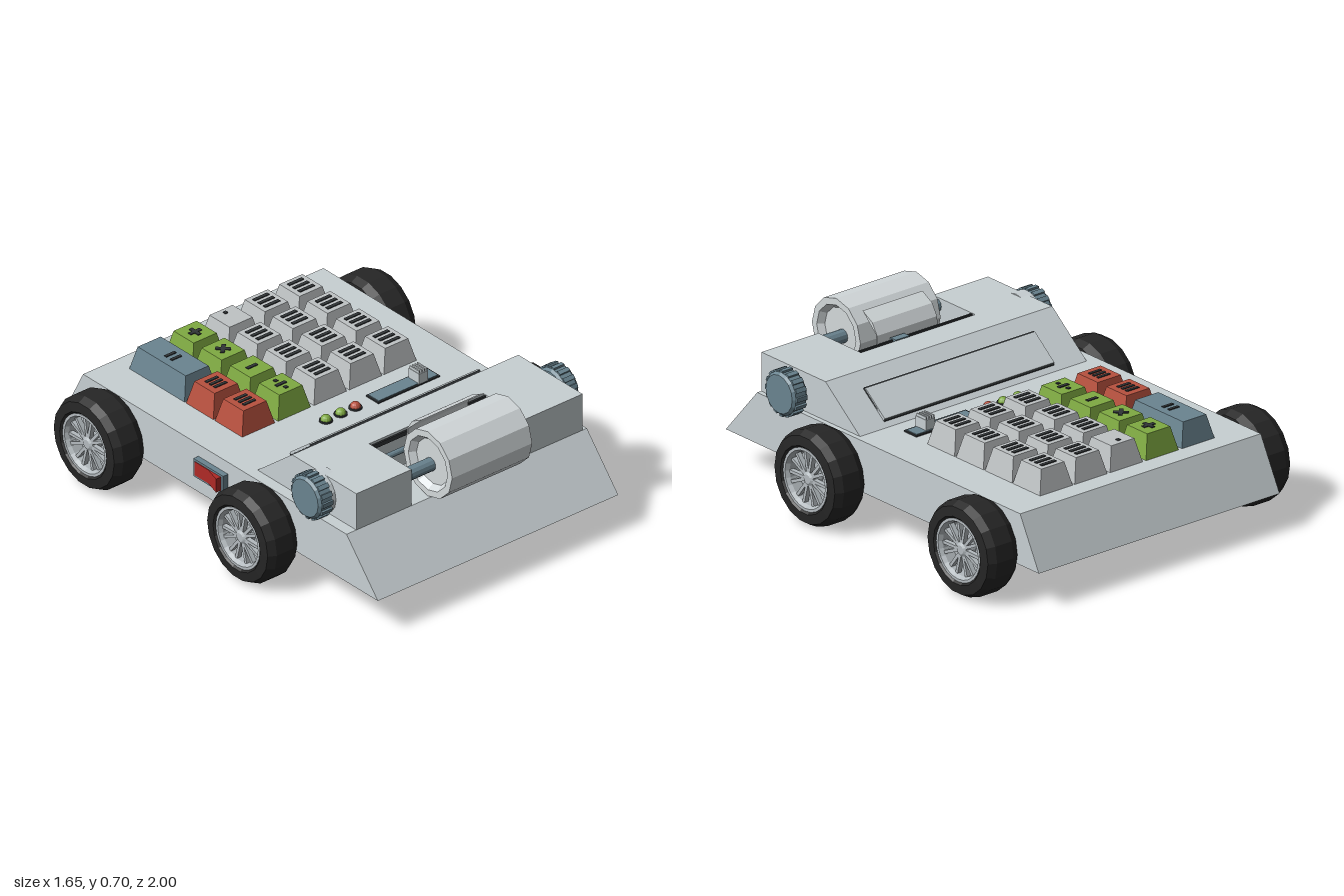
import * as THREE from 'three';

const mat = (name, color) => {
  const m = new THREE.MeshStandardMaterial({ color });
  m.name = name;
  return m;
};

export function createModel() {
  const shell = mat('shell grey', 0xc8d0d3);
  const paper = mat('paper', 0xd3d9db);
  const keyGrey = mat('key grey', 0xbfc3c5);
  const steel = mat('rim steel', 0xb4bbbf);
  const blue = mat('slate blue', 0x6a8490);
  const green = mat('green', 0x7faa42);
  const red = mat('red', 0xb8513f);
  const switchRed = mat('switch red', 0xb02a26);
  const rubber = mat('rubber', 0x262626);
  const ink = mat('ink', 0x303436);

  const model = new THREE.Group();
  model.name = 'calculatorCar';

  // Adds a faceted mesh
  const add = (name, geometry, material, x = 0, y = 0, z = 0, parent = model) => {
    const g = geometry.index ? geometry.toNonIndexed() : geometry;
    g.computeVertexNormals();
    const m = new THREE.Mesh(g, material);
    m.name = name;
    m.position.set(x, y, z);
    parent.add(m);
    return m;
  };
  const box = (w, h, d) => new THREE.BoxGeometry(w, h, d);
  // Side profile of [z, y] points, swept from x0 to x1
  const sweep = (pts, x0, x1) => {
    const shape = new THREE.Shape(pts.map(p => new THREE.Vector2(p[0], p[1])));
    return new THREE.ExtrudeGeometry(shape, { depth: x1 - x0, bevelEnabled: false })
      .rotateY(-Math.PI / 2).translate(x1, 0, 0);
  };
  // Turned shapes whose axis runs along x
  const lathe = (pts, n) =>
    new THREE.LatheGeometry(pts.map(p => new THREE.Vector2(p[0], p[1])), n).rotateZ(-Math.PI / 2);
  const rod = (r, len, n = 12) => new THREE.CylinderGeometry(r, r, len, n).rotateZ(-Math.PI / 2);

  // Wedge-ended body
  add('body', sweep([[-1, 0.17], [1, 0.17], [0.8, 0.4], [-0.88, 0.4]], -0.653, 0.653), shell);

  // Printer housing with a bay open to the front
  const housing = front => [[0.17, 0.4], [front, 0.4], [front, 0.575], [0.39, 0.575]];
  add('housingRight', sweep(housing(0.8), -0.6, -0.3), shell);
  add('housingMiddle', sweep(housing(0.53), -0.3, 0.32), shell);
  add('housingLeft', sweep(housing(0.8), 0.32, 0.63), shell);

  // Display on the rear slope
  const onSlope = (z, h) => [z - 0.623 * h, 0.4 + (z - 0.17) * 0.795 + 0.783 * h];
  const plate = (z0, z1, h) => [onSlope(z0, 0), onSlope(z1, 0), onSlope(z1, h), onSlope(z0, h)];
  add('displaySurround', sweep(plate(0.192, 0.326, 0.009), -0.44, 0.48), ink);
  add('displayWindow', sweep(plate(0.197, 0.321, 0.014), -0.44, 0.48), shell);

  // Paper roll, its axle, loose sheet and print mechanism
  add('paperRoll', lathe([[0, -0.19], [0.105, -0.19], [0.125, -0.2175], [0.155, -0.2175],
    [0.155, 0.2175], [0.125, 0.2175], [0.105, 0.19], [0, 0.19]], 12), paper, 0.0175, 0.557, 0.787);
  add('rollAxle', rod(0.03, 0.62), blue, 0.01, 0.54, 0.775);
  const curl = [[0.665, 0.685], [0.61, 0.655], [0.58, 0.605], [0.568, 0.5]];
  const back = curl.map(p => [p[0] - 0.007, p[1] - 0.004]).reverse();
  add('paperSheet', sweep([...curl, ...back], -0.13, 0.195), paper);
  add('printRail', rod(0.013, 0.62), blue, 0.01, 0.52, 0.587);
  add('tearBar', box(0.615, 0.02, 0.008), ink, 0.01, 0.565, 0.548);
  add('printHead', box(0.075, 0.08, 0.035), blue, 0.095, 0.54, 0.545);

  // Ribbed feed knobs
  for (const [name, x] of [['rightKnob', -0.648], ['leftKnob', 0.686]]) {
    const knob = new THREE.Group();
    knob.name = name;
    knob.position.set(x, 0.485, 0.575);
    model.add(knob);
    add('knobCore', lathe([[0, -0.04], [0.085, -0.04], [0.096, -0.028], [0.096, 0.028],
      [0.085, 0.04], [0, 0.04]], 16), blue, 0, 0, 0, knob);
    for (let i = 0; i < 16; i++) {
      const a = i * Math.PI / 8;
      const rib = add('knobRib', box(0.056, 0.014, 0.02), blue, 0, 0.096 * Math.cos(a), 0.096 * Math.sin(a), knob);
      rib.rotation.x = a;
    }
  }
  add('knobBoss', rod(0.096, 0.06, 16), shell, -0.59, 0.485, 0.575);

  // Wheels: axle along x, outer face towards +x
  const makeWheel = (name, side, z) => {
    const wheel = new THREE.Group();
    wheel.name = name;
    wheel.position.set(side * 0.74, 0.215, z);
    if (side < 0) wheel.rotation.y = Math.PI;
    model.add(wheel);
    add('tyre', lathe([[0.135, -0.07], [0.15, -0.085], [0.193, -0.08], [0.211, -0.045], [0.211, 0.045],
      [0.193, 0.08], [0.15, 0.085], [0.135, 0.07], [0.135, -0.07]], 18), rubber, 0, 0, 0, wheel);
    add('rim', lathe([[0.118, -0.072], [0.14, -0.072], [0.14, 0.078], [0.128, 0.078],
      [0.118, 0.06], [0.118, -0.072]], 24), steel, 0, 0, 0, wheel);
    add('rimBack', rod(0.125, 0.02, 24), steel, 0, 0, 0, wheel);
    add('hub', lathe([[0.036, 0], [0.032, 0.06], [0.02, 0.068], [0, 0.068]], 12), steel, 0, 0, 0, wheel);
    for (let i = 0; i < 7; i++) {
      for (const fork of [-1, 1]) {
        const spoke = new THREE.Group();
        spoke.name = 'spoke';
        spoke.rotation.x = i * Math.PI * 2 / 7;
        wheel.add(spoke);
        const bar = add('spokeBar', box(0.022, 0.11, 0.014), steel, 0.05, 0.072, fork * 0.013, spoke);
        bar.rotation.x = fork * 0.2;
      }
    }
    add('axle', rod(0.04, 0.14), steel, -0.07, 0, 0, wheel);
  };
  for (const side of [-1, 1]) {
    const s = side < 0 ? 'Right' : 'Left';
    makeWheel('front' + s + 'Wheel', side, 0.3);
    makeWheel('rear' + s + 'Wheel', side, -0.678);
  }

  // Tapered keys with plain bar markings: [width, depth, x, z, turn]
  const bar3 = [[0.08, 0.016, 0, -0.034, 0], [0.08, 0.016, 0, 0, 0], [0.08, 0.016, 0, 0.034, 0]];
  const dash = [[0.055, 0.016, 0, 0, 0]];
  const marks = {
    bars: bar3,
    shortBars: bar3.map(b => [0.065, 0.014, 0, b[3] * 0.8, 0]),
    dot: [[0.016, 0.016, 0, -0.035, 0]],
    pair: [[0.055, 0.014, 0, -0.018, 0], [0.055, 0.014, 0, 0.018, 0]],
    dash,
    plus: [[0.06, 0.018, 0, 0, 0], [0.06, 0.018, 0, 0, Math.PI / 2]],
    cross: [[0.065, 0.018, 0, 0, Math.PI / 4], [0.065, 0.018, 0, 0, -Math.PI / 4]],
    dashDots: [...dash, [0.016, 0.016, 0, -0.033, 0], [0.016, 0.016, 0, 0.033, 0]],
  };
  const makeKey = (x, z, depth, material, mark) => {
    const key = new THREE.Group();
    key.name = 'key';
    key.position.set(x, 0.4, z);
    model.add(key);
    const cap = box(0.177, 0.106, depth).translate(0, 0.053, 0);
    const p = cap.attributes.position;
    for (let i = 0; i < p.count; i++) {
      if (p.getY(i) < 0.05) continue;
      p.setX(i, p.getX(i) - Math.sign(p.getX(i)) * 0.026);
      p.setZ(i, p.getZ(i) - Math.sign(p.getZ(i)) * 0.023);
    }
    add('keyCap', cap, material, 0, 0, 0, key);
    for (const [w, d, mx, mz, turn] of marks[mark]) {
      add('keyMark', box(w, 0.006, d), ink, mx, 0.107, mz, key).rotation.y = turn;
    }
  };
  const columns = [-0.39, -0.195, 0, 0.192, 0.38];
  const rows = [-0.703, -0.525, -0.341, -0.157];
  makeKey(columns[0], -0.614, 0.352, blue, 'pair');
  for (const r of [2, 3]) makeKey(columns[0], rows[r], 0.174, red, 'shortBars');
  ['plus', 'cross', 'dash', 'dashDots'].forEach((m, r) => makeKey(columns[1], rows[r], 0.174, green, m));
  for (let c = 2; c < 5; c++) {
    rows.forEach((z, r) => makeKey(columns[c], z, 0.174, keyGrey, c === 2 && r === 0 ? 'dot' : 'bars'));
  }

  // Indicator lamps
  [green, green, red].forEach((m, i) => {
    const x = -0.13 + i * 0.08;
    add('lampRing', new THREE.CylinderGeometry(0.029, 0.029, 0.008, 16), ink, x, 0.403, 0.055);
    add('lamp', new THREE.SphereGeometry(0.024, 12, 5, 0, Math.PI * 2, 0, Math.PI / 2), m, x, 0.406, 0.055);
  });

  // Slider with a ridged thumb piece
  add('sliderFrame', box(0.335, 0.008, 0.08), ink, 0.29, 0.402, 0.053);
  add('sliderTrack', box(0.32, 0.008, 0.066), blue, 0.29, 0.405, 0.053);
  add('sliderThumb', box(0.05, 0.05, 0.066), shell, 0.37, 0.43, 0.058);
  for (let i = 0; i < 4; i++) {
    add('sliderRidge', box(0.006, 0.014, 0.06), shell, 0.35 + i * 0.0133, 0.46, 0.058);
  }

  // Rocker switch on the right side
  add('switchFrame', box(0.03, 0.085, 0.19), blue, -0.665, 0.3, -0.05);
  const rocker = new THREE.Shape([[-0.676, 0.03], [-0.706, 0.03], [-0.683, -0.045], [-0.683, -0.135],
    [-0.676, -0.135]].map(p => new THREE.Vector2(p[0], -p[1])));
  add('switchRocker', new THREE.ExtrudeGeometry(rocker, { depth: 0.065, bevelEnabled: false })
    .rotateX(-Math.PI / 2), switchRed, 0, 0.2675, 0);

  // Battery cover and its latch underneath
  add('batteryCover', box(0.86, 0.008, 0.52), shell, 0, 0.167, -0.48);
  add('batteryLatch', box(0.2, 0.016, 0.09), shell, 0.015, 0.163, -0.215);

  return model;
}
